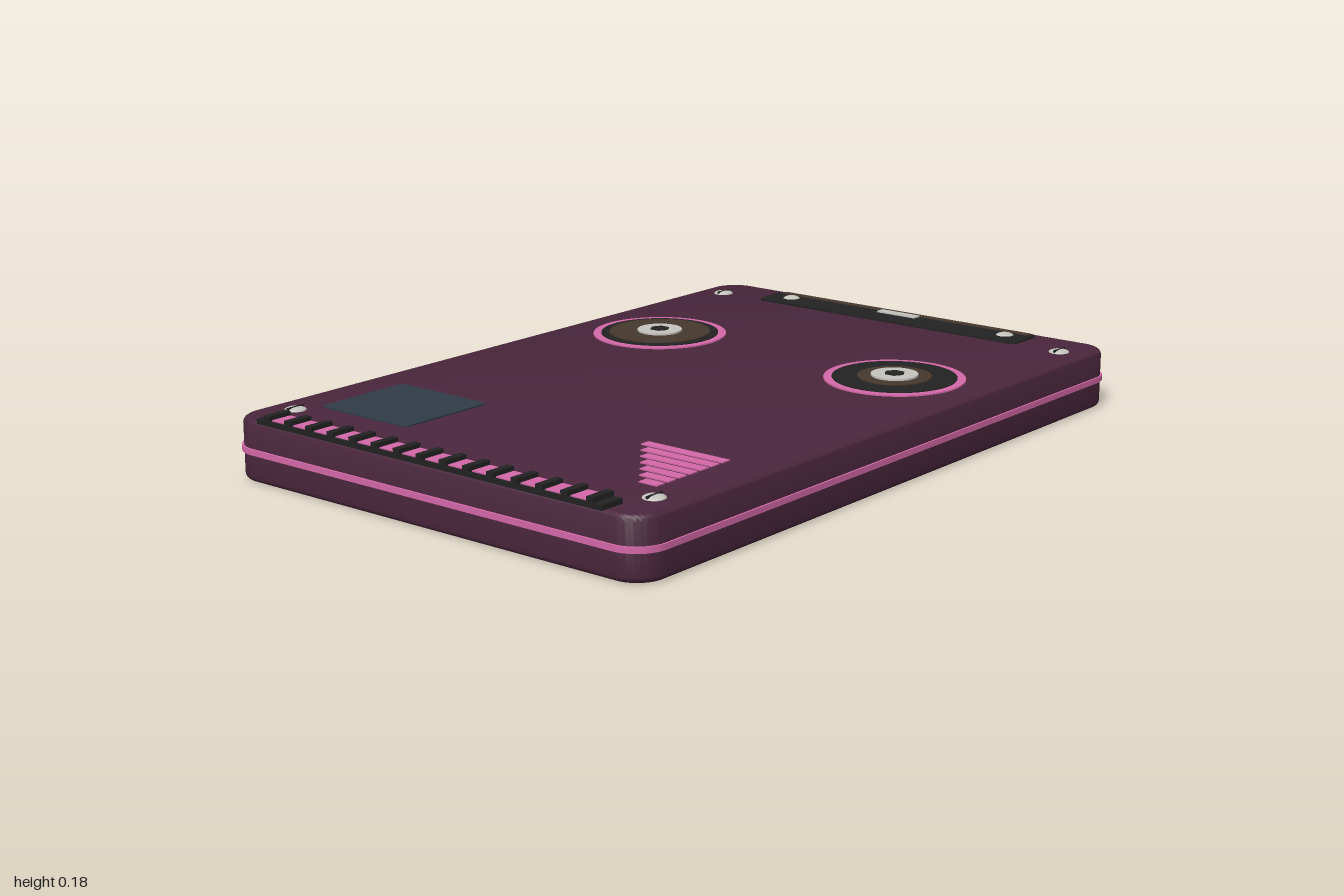
import * as THREE from 'three';
import { toCreasedNormals } from 'three/addons/utils/BufferGeometryUtils.js';

const paint = (name, color) => Object.assign(new THREE.MeshStandardMaterial({ color }), { name });

// Upright slab with rounded corners and bevelled rims, standing on y = 0
function slab(w, d, h, r, bevel = 0) {
  const x = w / 2 - bevel, y = d / 2 - bevel, q = Math.max(r - bevel, 0.001);
  const s = new THREE.Shape();
  s.absarc(x - q, y - q, q, 0, Math.PI / 2);
  s.absarc(-x + q, y - q, q, Math.PI / 2, Math.PI);
  s.absarc(-x + q, -y + q, q, Math.PI, Math.PI * 1.5);
  s.absarc(x - q, -y + q, q, Math.PI * 1.5, Math.PI * 2);
  s.closePath();
  const g = new THREE.ExtrudeGeometry(s, {
    depth: h - 2 * bevel, curveSegments: 10, bevelEnabled: bevel > 0,
    bevelSize: bevel, bevelThickness: bevel, bevelSegments: 4,
  });
  g.translate(0, 0, bevel).rotateX(-Math.PI / 2);
  return toCreasedNormals(g, 0.6);
}

export function createModel() {
  const model = new THREE.Group();
  model.name = 'cassettePlayer';
  const plum = paint('plum', 0x4a263c);
  const pink = paint('pink', 0xd468a8);
  const black = paint('black', 0x222222);
  const brown = paint('brown', 0x46382e);
  const silver = paint('silver', 0xc4c3be);
  const slate = paint('slate', 0x303c48);
  const TOP = 0.157;

  const add = (name, geo, mat, x = 0, y = 0, z = 0, parent = model) => {
    const m = new THREE.Mesh(geo, mat);
    m.name = name;
    m.position.set(x, y, z);
    parent.add(m);
    return m;
  };
  const group = (name, x, y, z) => {
    const g = new THREE.Group();
    g.name = name;
    g.position.set(x, y, z);
    model.add(g);
    return g;
  };
  const box = (w, h, d) => new THREE.BoxGeometry(w, h, d).translate(0, h / 2, 0);
  const disc = (r, h, n = 48) => new THREE.CylinderGeometry(r, r, h, n).translate(0, h / 2, 0);
  const dome = (r, h) => new THREE.SphereGeometry(r, 20, 6, 0, Math.PI * 2, 0, Math.PI / 2).scale(1, h / r, 1);

  // Case and the stripe around its seam
  add('case', slab(1.988, 1.326, TOP, 0.08, 0.015), plum);
  add('seamStripe', slab(2, 1.336, 0.015, 0.085), pink, 0, 0.072, 0);

  // Slotted corner screws
  for (const x of [-0.853, 0.853]) for (const z of [-0.58, 0.58]) {
    const screw = group('cornerScrew', x, TOP, z);
    add('screwHead', dome(0.028, 0.008), silver, 0, 0, 0, screw);
    add('screwSlot', box(0.052, 0.0085, 0.006), black, 0, 0, 0, screw);
  }

  // Two reels, with more tape wound on the rear one
  for (const [z, tape] of [[-0.397, 0.14], [0.397, 0.097]]) {
    const reel = group('reel', 0.336, TOP, z);
    add('reelRing', disc(0.185, 0.004, 64), pink, 0, 0, 0, reel);
    add('reelWell', disc(0.163, 0.006, 64), black, 0, 0, 0, reel);
    add('woundTape', disc(tape, 0.009), brown, 0, 0, 0, reel);
    add('reelHub', disc(0.062, 0.014, 32), silver, 0, 0, 0, reel);
    add('hubSocket', disc(0.028, 0.016, 6), black, 0, 0, 0, reel);
  }

  // Ribbed strip along one short edge
  const strip = group('ribbedStrip', -0.965, TOP, 0);
  add('stripBase', box(0.07, 0.013, 1.11), black, 0, 0, 0, strip);
  for (let i = 0; i < 15; i++) {
    const z = (i - 7) * 0.0743;
    add('rib', box(0.07, 0.025, 0.02), black, 0, 0, z, strip);
    if (i < 14) add('stripKey', box(0.058, 0.004, 0.046), pink, 0, 0.012, z + 0.0372, strip);
  }

  // Display and rising level bars
  add('display', slab(0.28, 0.3, 0.004, 0.015), slate, -0.658, TOP, -0.397);
  for (let i = 0; i < 7; i++) {
    const length = 0.053 + i * 0.032;
    add('levelBar', box(0.028, 0.003, length), pink, -0.774 + i * 0.039, TOP, 0.533 - length / 2);
  }

  // Tape head panel opposite the strip
  const panel = group('headPanel', 0.906, TOP, 0);
  add('panelPlate', slab(0.122, 0.885, 0.005, 0.02), black, 0, 0, 0, panel);
  add('tapeRun', box(0.022, 0.007, 0.85), brown, 0.046, 0, 0, panel);
  add('tapeHead', box(0.028, 0.009, 0.13), silver, 0.025, 0, 0, panel);
  for (const z of [-0.37, 0.37]) add('guideRoller', dome(0.027, 0.012), silver, 0.007, 0, z, panel);

  return model;
}
